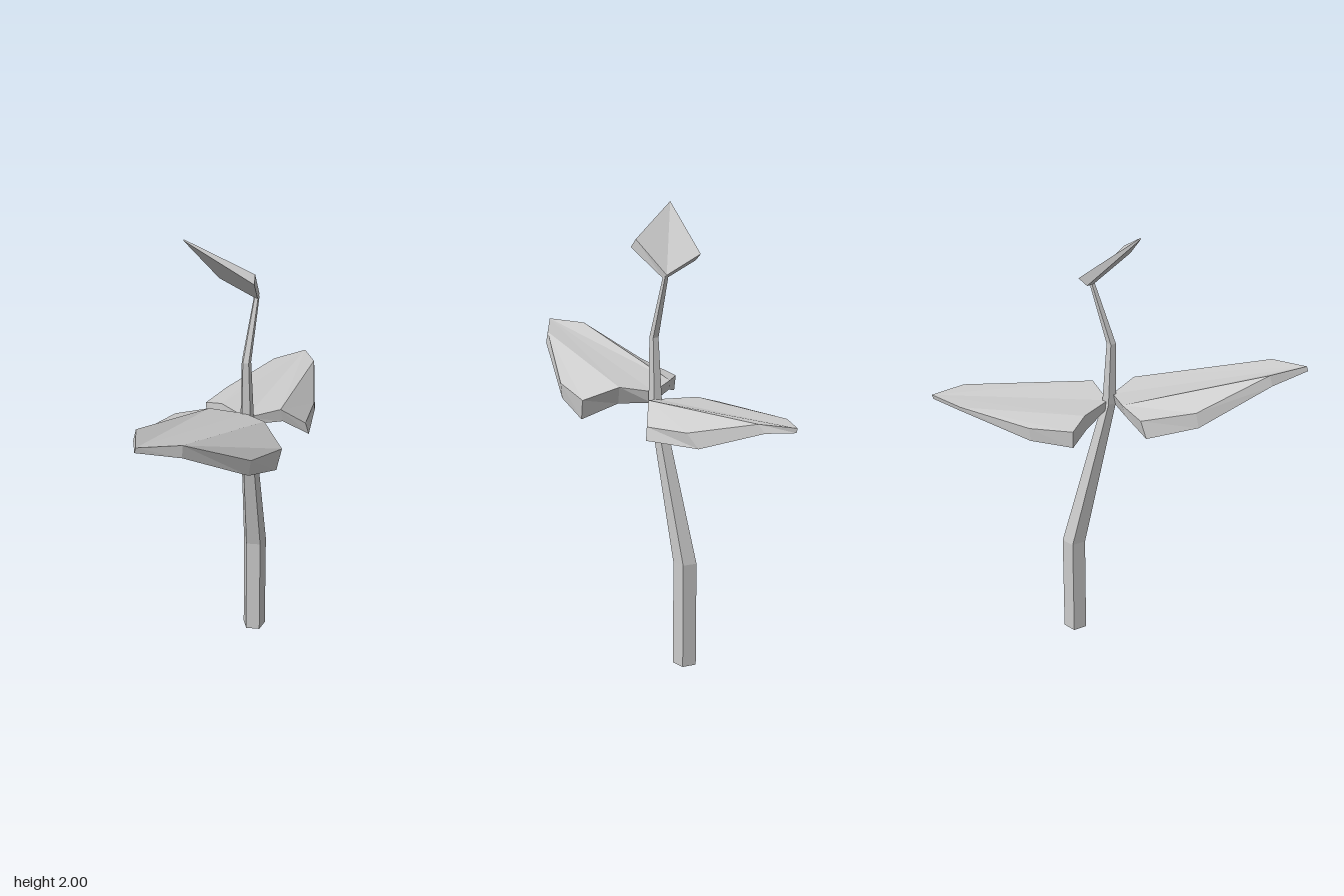
import * as THREE from 'three';

const material = new THREE.MeshStandardMaterial({ color: 0xcccccc, flatShading: true });

// Solid leaf: an upper outline (anticlockwise from above), a lower outline and the folded panels between creases.
function makeLeaf(name, upper, lower, panels) {
  const n = upper.length;
  const positions = [];
  const addFace = (pts) => {
    for (let i = 1; i < pts.length - 1; i++) positions.push(...pts[0], ...pts[i], ...pts[i + 1]);
  };
  for (const panel of panels) {
    addFace(panel.map((i) => upper[i]));
    addFace(panel.map((i) => lower[i]).reverse());
  }
  for (let i = 0; i < n; i++) {
    const j = (i + 1) % n;
    addFace([upper[i], lower[i], lower[j], upper[j]]);
  }
  const geometry = new THREE.BufferGeometry();
  geometry.setAttribute('position', new THREE.Float32BufferAttribute(positions, 3));
  geometry.computeVertexNormals();
  const mesh = new THREE.Mesh(geometry, material);
  mesh.name = name;
  return mesh;
}

// Five-sided stem that bends and tapers through [x, y, z, radius] stations.
function makeStem() {
  const stations = [
    [0.067, 0, -0.174, 0.054],
    [0.067, 0.475, -0.174, 0.054],
    [0.05, 1.17, -0.013, 0.031],
    [0.047, 1.45, -0.004, 0.021],
    [0.08, 1.72, -0.08, 0.012],
  ];
  const geometry = new THREE.CylinderGeometry(1, 1, 1, 5, 4, false, Math.PI);
  const p = geometry.attributes.position;
  for (let i = 0; i < p.count; i++) {
    const [x, y, z, r] = stations[Math.round((p.getY(i) + 0.5) * 4)];
    p.setXYZ(i, x + p.getX(i) * r, y, z + p.getZ(i) * r);
  }
  geometry.computeVertexNormals();
  const mesh = new THREE.Mesh(geometry, material);
  mesh.name = 'stem';
  return mesh;
}

export function createModel() {
  const group = new THREE.Group();
  group.name = 'sprout';
  group.add(makeStem());

  // Broad leaves: tip, four points down one side, base, four points back up the other.
  const broadPanels = [[1, 2, 3, 4], [0, 1, 4, 5], [0, 5, 6, 9], [6, 7, 8, 9]];
  group.add(makeLeaf('frontLeaf',
    [
      [-0.27, 1.415, 0.76], [-0.11, 1.385, 0.66], [0.125, 1.215, 0.43], [0.23, 1.18, 0.245], [0.14, 1.235, 0.115],
      [0.045, 1.21, 0], [-0.11, 1.23, 0.01], [-0.25, 1.22, 0.06], [-0.31, 1.265, 0.28], [-0.305, 1.405, 0.59],
    ],
    [
      [-0.275, 1.395, 0.765], [-0.11, 1.335, 0.67], [0.115, 1.145, 0.43], [0.21, 1.09, 0.265], [0.11, 1.155, 0.14],
      [0.045, 1.16, 0.01], [-0.12, 1.185, 0.02], [-0.27, 1.145, 0.08], [-0.32, 1.2, 0.29], [-0.315, 1.36, 0.6],
    ], broadPanels));
  group.add(makeLeaf('backLeaf',
    [
      [0.23, 1.19, -0.765], [0.095, 1.185, -0.655], [-0.09, 1.15, -0.385], [-0.16, 1.15, -0.21], [-0.08, 1.18, -0.145],
      [0.045, 1.18, -0.02], [0.19, 1.21, -0.06], [0.295, 1.125, -0.115], [0.315, 1.13, -0.315], [0.285, 1.2, -0.62],
    ],
    [
      [0.23, 1.17, -0.76], [0.095, 1.165, -0.65], [-0.09, 1.09, -0.38], [-0.16, 1.075, -0.21], [-0.08, 1.11, -0.14],
      [0.045, 1.145, -0.02], [0.2, 1.15, -0.07], [0.31, 1.07, -0.12], [0.315, 1.07, -0.37], [0.285, 1.165, -0.65],
    ], broadPanels));

  // Small folded leaf at the top of the stem.
  group.add(makeLeaf('topLeaf',
    [[-0.2, 2, 0.062], [0.09, 1.865, 0.06], [0.09, 1.725, -0.09], [-0.07, 1.8, -0.162]],
    [[-0.2, 1.995, 0.065], [0.09, 1.83, 0.085], [0.085, 1.705, -0.075], [-0.085, 1.77, -0.13]],
    [[0, 1, 2], [0, 2, 3]]));
  return group;
}
